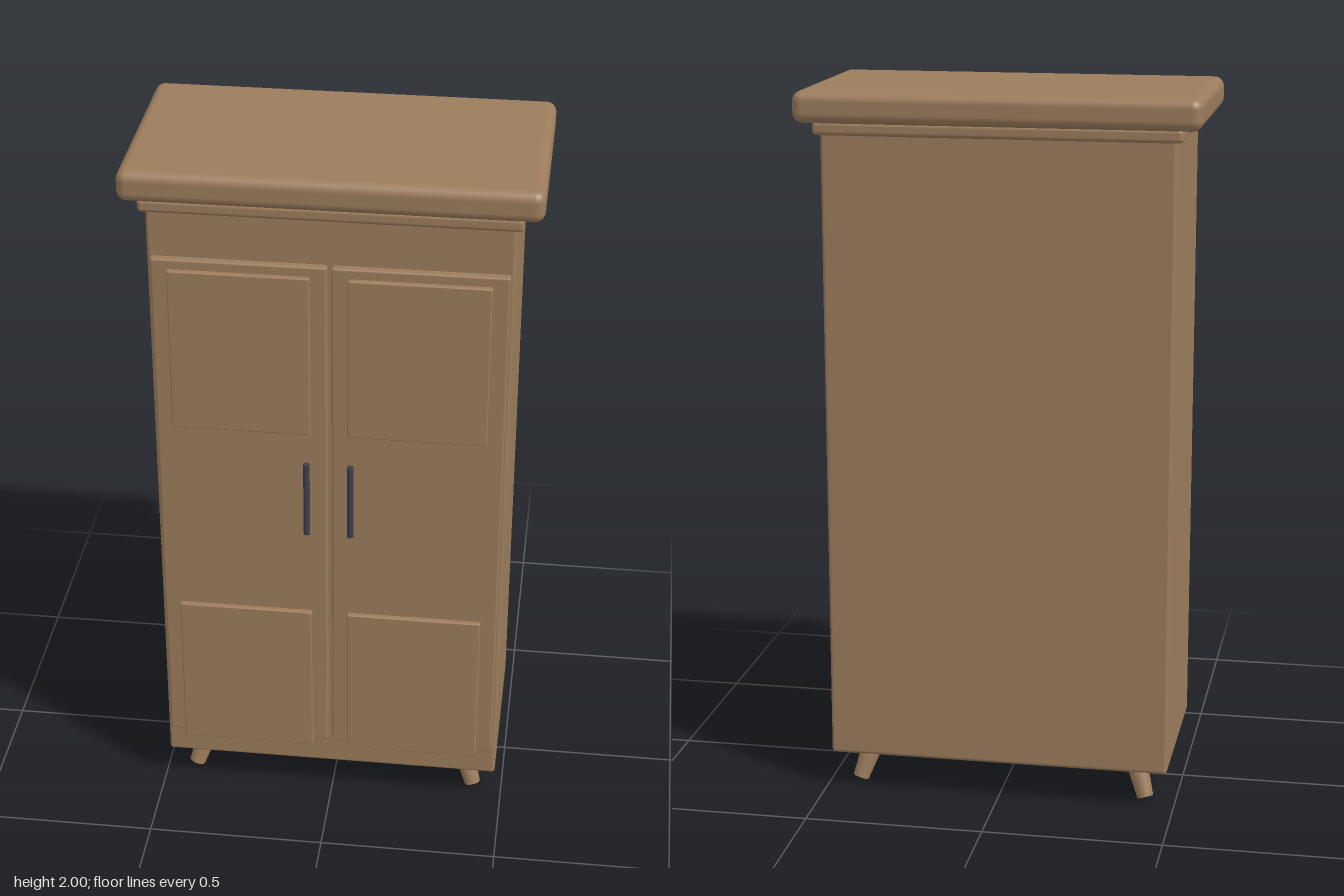
import * as THREE from 'three';
import { RoundedBoxGeometry } from 'three/addons/geometries/RoundedBoxGeometry.js';

export function createModel() {
  const wood = new THREE.MeshStandardMaterial({ name: 'wood', color: 0x9c7c5c });
  const metal = new THREE.MeshStandardMaterial({ name: 'darkMetal', color: 0x3c414a });
  const model = new THREE.Group();
  model.name = 'wardrobe';

  // Rounded box given by its minimum and maximum corners
  function box(name, [x0, y0, z0], [x1, y1, z1], radius) {
    const geometry = new RoundedBoxGeometry(x1 - x0, y1 - y0, z1 - z0, 4, radius);
    const mesh = new THREE.Mesh(geometry, wood);
    mesh.name = name;
    mesh.position.set((x0 + x1) / 2, (y0 + y1) / 2, (z0 + z1) / 2);
    model.add(mesh);
  }

  // Cabinet body and cornice
  box('body', [-0.482, 0.11, -0.27], [0.482, 1.895, 0.258], 0.01);
  box('corniceMolding', [-0.5, 1.88, -0.286], [0.5, 1.918, 0.274], 0.012);
  box('corniceTop', [-0.551, 1.913, -0.311], [0.551, 2, 0.293], 0.028);

  // Doors, raised panels and handles, mirrored
  for (const side of [-1, 1]) {
    const label = side > 0 ? 'left' : 'right';
    const span = (name, a, b, y0, y1, z0, z1, r) =>
      box(label + name, [Math.min(side * a, side * b), y0, z0], [Math.max(side * a, side * b), y1, z1], r);
    span('Door', 0.006, 0.471, 0.205, 1.752, 0.25, 0.279, 0.006);
    span('UpperPanel', 0.05, 0.426, 1.252, 1.725, 0.27, 0.294, 0.004);
    span('LowerPanel', 0.05, 0.426, 0.195, 0.666, 0.27, 0.294, 0.004);

    const handle = new THREE.Mesh(new THREE.CylinderGeometry(0.009, 0.009, 0.226, 16), metal);
    handle.name = label + 'Handle';
    handle.position.set(side * 0.06, 1.053, 0.302);
    model.add(handle);
  }

  // Splayed tapered legs
  const legTop = 0.125;
  for (const sx of [-1, 1]) {
    for (const sz of [-1, 1]) {
      const top = new THREE.Vector3(sx * 0.378, legTop, -0.007 + sz * 0.156);
      const foot = new THREE.Vector3(sx * 0.415, 0.011, -0.007 + sz * 0.192);
      const axis = top.clone().sub(foot);
      const leg = new THREE.Mesh(new THREE.CylinderGeometry(0.033, 0.023, axis.length(), 20), wood);
      leg.name = (sz > 0 ? 'front' : 'back') + (sx > 0 ? 'Left' : 'Right') + 'Leg';
      leg.position.copy(top).add(foot).multiplyScalar(0.5);
      leg.quaternion.setFromUnitVectors(new THREE.Vector3(0, 1, 0), axis.normalize());
      model.add(leg);
    }
  }
  return model;
}
